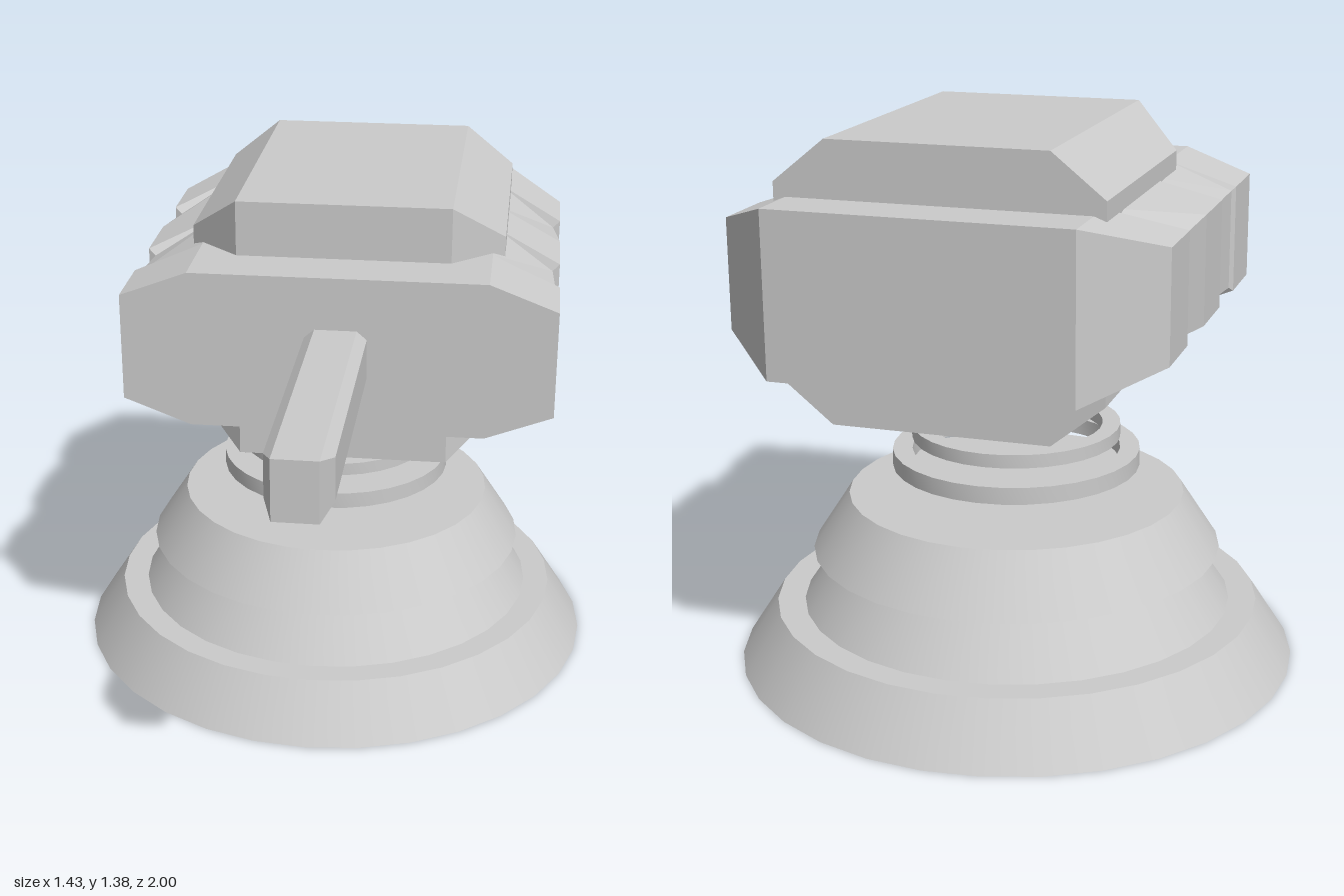
import * as THREE from 'three';
import { toCreasedNormals } from 'three/addons/utils/BufferGeometryUtils.js';

const smooth = new THREE.MeshStandardMaterial({ color: 0xcccccc });
const faceted = new THREE.MeshStandardMaterial({ color: 0xcccccc, flatShading: true });

// Chamfered block lofted front to back through eight-sided sections.
// Each station: [z of side edge, z of top edge, side half width, side half height]
function chamferedBlock(name, x, y, topHalfWidth, halfHeight, stations) {
  const rings = stations.map(([zo, zi, w, ho]) => {
    const t = topHalfWidth, h = halfHeight;
    return [
      [w, -ho, zo], [w, ho, zo], [t, h, zi], [-t, h, zi],
      [-w, ho, zo], [-w, -ho, zo], [-t, -h, zi], [t, -h, zi],
    ].map((p) => new THREE.Vector3(...p));
  });
  const positions = [];
  const triangle = (a, b, c) => {
    if (new THREE.Triangle(a, b, c).getArea() < 1e-8) return;
    for (const p of [a, b, c]) positions.push(p.x, p.y, p.z);
  };
  for (let i = 0; i + 1 < rings.length; i++) {
    for (let k = 0; k < 8; k++) {
      const n = (k + 1) % 8;
      const a = rings[i][k], b = rings[i][n], c = rings[i + 1][n], d = rings[i + 1][k];
      triangle(a, d, b);
      triangle(b, d, c);
    }
  }
  // End faces
  const first = rings[0], last = rings[rings.length - 1];
  for (let k = 1; k < 7; k++) {
    triangle(first[0], first[k], first[k + 1]);
    triangle(last[0], last[k + 1], last[k]);
  }
  const geometry = new THREE.BufferGeometry();
  geometry.setAttribute('position', new THREE.Float32BufferAttribute(positions, 3));
  geometry.computeVertexNormals();
  const mesh = new THREE.Mesh(geometry, faceted);
  mesh.name = name;
  mesh.position.set(x, y, 0);
  return mesh;
}

// Truncated cone of the stepped base
function baseTier(name, bottomRadius, topRadius, y0, y1) {
  const mesh = new THREE.Mesh(new THREE.CylinderGeometry(topRadius, bottomRadius, y1 - y0, 32), smooth);
  mesh.name = name;
  mesh.position.y = (y0 + y1) / 2;
  return mesh;
}

// Flat hollow ring floating above the base
function collar(name, inner, outer, y0, y1) {
  const profile = [[inner, y0], [outer, y0], [outer, y1], [inner, y1], [inner, y0]]
    .map(([r, y]) => new THREE.Vector2(r, y));
  const mesh = new THREE.Mesh(toCreasedNormals(new THREE.LatheGeometry(profile, 32), 0.6), smooth);
  mesh.name = name;
  return mesh;
}

export function createModel() {
  const model = new THREE.Group();
  model.name = 'turret';

  // Round stepped base with two collars
  const base = new THREE.Group();
  base.name = 'base';
  base.position.z = -0.285;
  base.add(
    baseTier('lowerTier', 0.715, 0.62, 0, 0.147),
    baseTier('middleTier', 0.55, 0.455, 0.147, 0.288),
    baseTier('upperTier', 0.522, 0.428, 0.288, 0.433),
    collar('lowerCollar', 0.265, 0.315, 0.503, 0.546),
    collar('upperCollar', 0.22, 0.265, 0.577, 0.611),
  );
  model.add(base);

  // Wide body with saw-tooth side plates and a tapered back
  const out = [0.54, 0.1375], recessed = [0.522, 0.12];
  model.add(chamferedBlock('body', 0.06, 1.0375, 0.37, 0.2025, [
    [0.255, 0.255, ...out],
    [0.07, 0.04, ...out],
    [0.06, 0.03, 0.53, 0.128],
    [-0.10, -0.19, ...recessed],
    [-0.105, -0.2, ...out],
    [-0.29, -0.38, ...out],
    [-0.465, -0.585, ...recessed],
    [-0.47, -0.595, ...out],
    [-0.65, -0.82, ...out],
    [-0.82, -0.82, 0.37, 0.2025],
  ]));

  // Tall core showing above and below the body
  model.add(chamferedBlock('core', 0.06, 1.0375, 0.27, 0.3425, [
    [0.11, 0.11, 0.27, 0.3425],
    [-0.01, 0.11, 0.4, 0.2375],
    [-0.68, -0.68, 0.4, 0.2375],
  ]));

  // Barrel with tapered muzzle
  model.add(chamferedBlock('barrel', 0.0575, 1.0325, 0.0525, 0.0735, [
    [1, 1, 0.0525, 0.0735],
    [0.93, 1, 0.0775, 0.052],
    [0.2, 0.2, 0.0775, 0.052],
  ]));

  return model;
}
